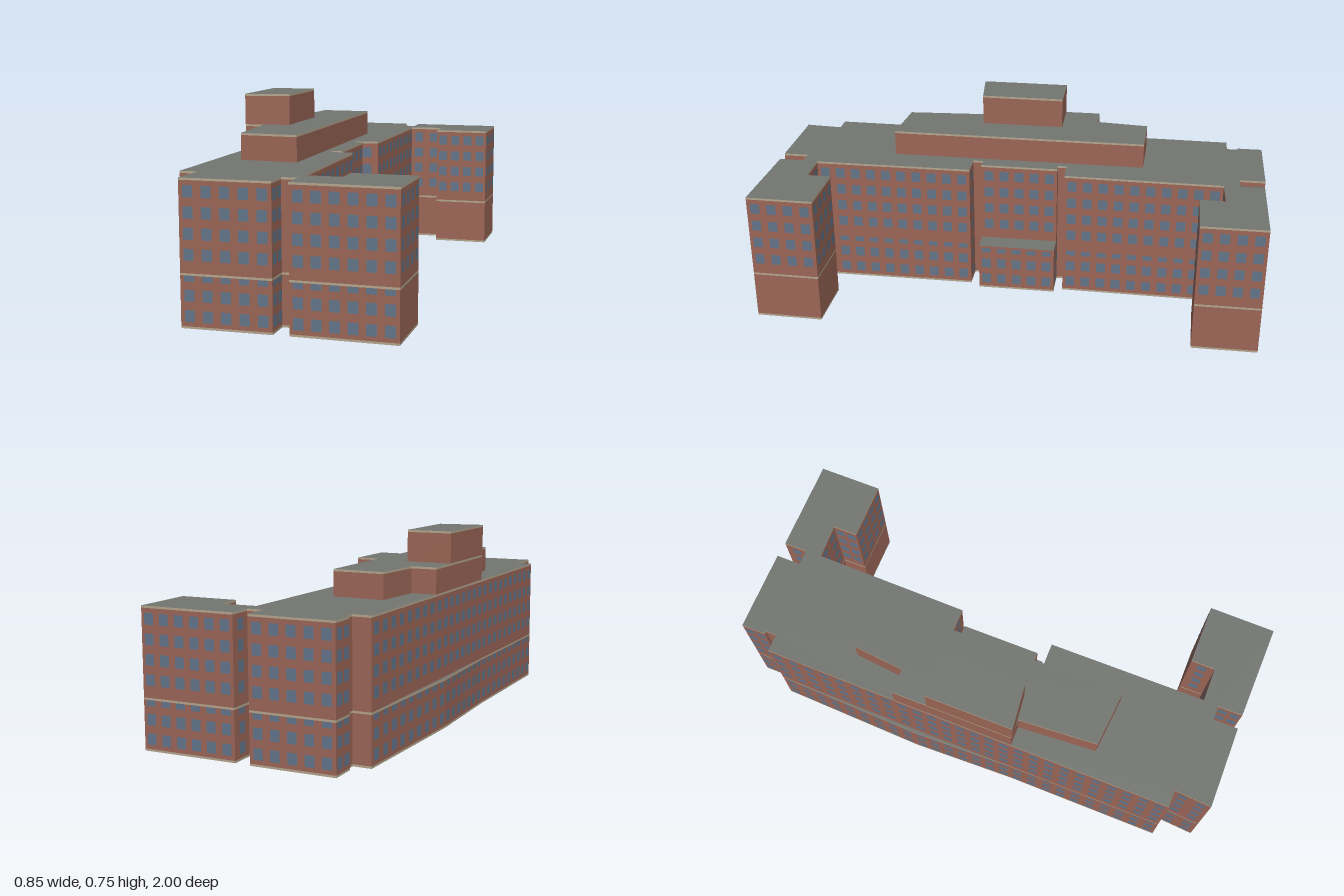
import * as THREE from 'three';
import { mergeGeometries } from 'three/addons/utils/BufferGeometryUtils.js';

const material = (name, color, side = THREE.DoubleSide) => {
  const m = new THREE.MeshStandardMaterial({ color, side });
  m.name = name;
  return m;
};

// Footprints as [x, z], walked so that the outside is on the left
const footprint = (bulge, bay) => [
  [-0.345, -1], [-0.015, -1], [-0.015, -0.9], [0.048, -0.9], [0.048, -0.995],
  [0.423, -0.995], [0.423, -0.74], [0.193, -0.74], [0.193, -0.84], [0.05, -0.835],
  [0.042, -0.2], [-0.053, -0.2], [-0.053, -0.165], [bay, -0.165],
  [bay, 0.15], [-0.06, 0.15], [-0.06, 0.19], [0.037, 0.19], [0.04, 0.83],
  [0.18, 0.83], [0.18, 0.733], [0.423, 0.735], [0.42, 1], [0.037, 0.99],
  [0.037, 0.89], [-0.022, 0.89], [-0.022, 0.99], [-0.355, 0.99], [-0.345, 0.84],
  [-0.415, 0.84], [-0.412, 0.19], [bulge, -0.24], [-0.405, -0.855], [-0.333, -0.855], [-0.333, -0.9], [-0.345, -0.9],
];
const PENTHOUSE = [
  [-0.29, -0.515], [-0.085, -0.51], [-0.085, 0.525], [-0.312, 0.505],
  [-0.333, 0.19], [-0.41, 0.19], [-0.41, -0.305], [-0.31, -0.305],
];
const PLANT_ROOM = [[-0.41, -0.16], [-0.23, -0.16], [-0.23, 0.175], [-0.41, 0.195]];

const TRIM = 0.008;
const PITCH = 0.0655;

export function createModel() {
  const brick = material('brick', 0x9c6657);
  const trim = material('cream trim', 0xb5a78f);
  const roof = material('roof grey', 0x737671);
  const glass = material('window blue', 0x62758a, THREE.FrontSide);
  const model = new THREE.Group();
  model.name = 'building';

  // One open-bottomed storey block: walls, trim bands, window plates and a flat roof
  function addTier(name, points, y0, y1, { rows = [], baseTrim = false, plainWings = false } = {}) {
    const group = new THREE.Group();
    group.name = name;
    const walls = [], bands = [], windows = [];

    points.forEach(([ax, az], i) => {
      const [bx, bz] = points[(i + 1) % points.length];
      const length = Math.hypot(bx - ax, bz - az);
      const nx = (bz - az) / length, nz = -(bx - ax) / length;
      const midX = (ax + bx) / 2, midZ = (az + bz) / 2;

      // Upright panel on this wall, t along it, between two heights
      const panel = (t, width, lo, hi, out = 0) =>
        new THREE.PlaneGeometry(width, hi - lo)
          .rotateY(Math.atan2(nx, nz))
          .translate(ax + (bx - ax) * t + nx * out, (lo + hi) / 2, az + (bz - az) * t + nz * out);

      // The courtyard walls run past the lower band without trim
      const courtyard = plainWings && Math.abs(midX) < 0.09 && Math.abs(midZ) < 0.84;
      const top = courtyard ? y1 : y1 - TRIM;
      const bottom = baseTrim ? y0 + TRIM : y0;
      walls.push(panel(0.5, length, bottom, top));
      if (!courtyard) bands.push(panel(0.5, length, top, y1));
      if (baseTrim) bands.push(panel(0.5, length, y0, bottom));

      // Ends of the wings are blank at the lower storeys
      const blank = plainWings && midX > 0.1 && Math.abs(midZ) < 0.95;
      if (length < 0.09 || blank) return;
      const count = Math.round(length / PITCH);
      for (const [lo, hi] of rows)
        for (let k = 0; k < count; k++)
          windows.push(panel((k + 0.5) / count, 0.037, lo, hi, 0.0015));
    });

    const add = (part, geometry, mat) => {
      const mesh = new THREE.Mesh(geometry, mat);
      mesh.name = part;
      group.add(mesh);
    };
    add('walls', mergeGeometries(walls), brick);
    add('trimBands', mergeGeometries(bands), trim);
    if (windows.length) add('windows', mergeGeometries(windows), glass);

    const outline = new THREE.Shape(points.map(([x, z]) => new THREE.Vector2(x, -z)));
    add('roof', new THREE.ShapeGeometry(outline).rotateX(-Math.PI / 2).translate(0, y1, 0), roof);
    model.add(group);
  }

  addTier('lowerStoreys', footprint(-0.425, 0.067), 0, 0.195, {
    rows: [[0.024, 0.066], [0.096, 0.138], [0.166, 0.187]],
    baseTrim: true,
    plainWings: true,
  });
  addTier('upperStoreys', footprint(-0.411, -0.018), 0.195, 0.525, {
    rows: [0.26, 0.333, 0.406, 0.479].map((y) => [y - 0.021, y + 0.021]),
  });
  addTier('penthouse', PENTHOUSE, 0.525, 0.627);
  addTier('plantRoom', PLANT_ROOM, 0.627, 0.75);

  return model;
}
